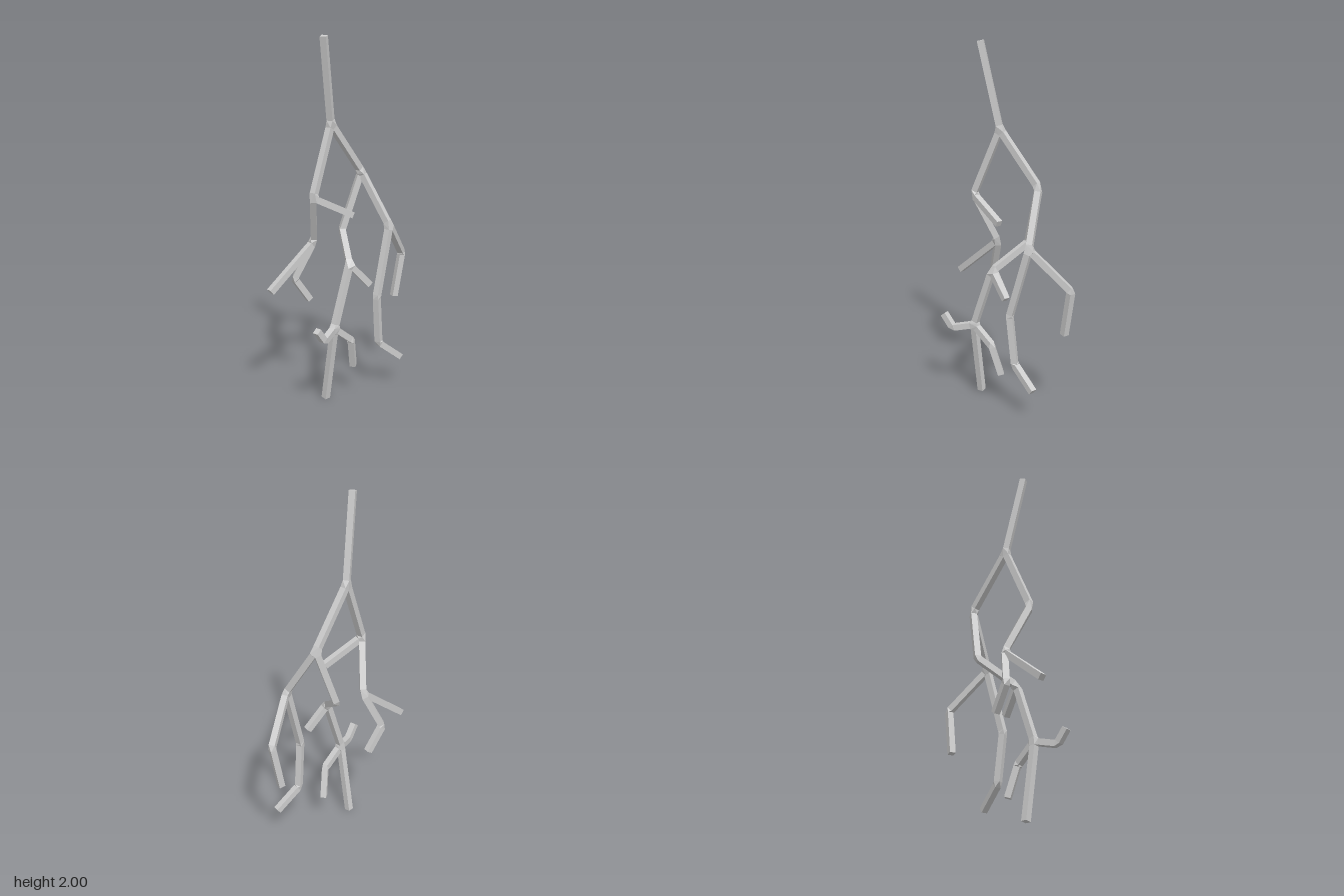
import * as THREE from 'three';
import { ConvexGeometry } from 'three/addons/geometries/ConvexGeometry.js';

const WIDTH = 0.034; // side of the square section

// Junctions and tips of the branching root
const nodes = {
  top: [-0.13, 1.997, 0.02], crown: [-0.066, 1.53, -0.062],
  // right limb
  rElbow: [-0.197, 1.155, 0.028], rStub: [0.032, 1.04, 0.004],
  rFork: [-0.152, 0.88, -0.102], rOuterTip: [-0.428, 0.645, -0.014],
  rKnee: [-0.257, 0.665, -0.134], rInnerTip: [-0.165, 0.53, -0.155],
  // left limb
  lFork: [0.147, 1.24, -0.173], lSplit: [0.265, 0.95, -0.038],
  lOuterKnee: [0.412, 0.735, -0.208], lOuterTip: [0.366, 0.475, -0.203],
  lInnerBend: [0.172, 0.56, 0.02], lInnerKnee: [0.193, 0.28, 0.0], lInnerTip: [0.335, 0.168, -0.026],
  // middle limb
  mBend: [0.038, 0.91, -0.182], mFork: [0.006, 0.77, 0.032], mStub: [0.128, 0.64, 0.018],
  mCluster: [-0.1, 0.43, 0.085], tapRootTip: [-0.13, 0.003, 0.022],
  mFrontKnee: [-0.187, 0.402, 0.175], mFrontTip: [-0.236, 0.475, 0.203],
  mSideKnee: [0.014, 0.335, 0.04], mSideTip: [0.042, 0.162, -0.004],
};

// Each limb lists the runs of nodes it follows
const limbs = {
  stem: [['top', 'crown']],
  rightLimb: [['crown', 'rElbow', 'rFork', 'rKnee', 'rInnerTip'], ['rElbow', 'rStub'], ['rFork', 'rOuterTip']],
  leftLimb: [['crown', 'lFork', 'lSplit', 'lInnerBend', 'lInnerKnee', 'lInnerTip'],
    ['lSplit', 'lOuterKnee', 'lOuterTip']],
  middleLimb: [['lFork', 'mBend', 'mFork', 'mCluster', 'tapRootTip'], ['mFork', 'mStub'],
    ['mCluster', 'mFrontKnee', 'mFrontTip'], ['mCluster', 'mSideKnee', 'mSideTip']],
};

export function createModel() {
  const root = new THREE.Group();
  root.name = 'branchingRoot';
  const material = new THREE.MeshStandardMaterial({ color: 0xcccccc, flatShading: true });
  const point = (name) => new THREE.Vector3(...nodes[name]);

  // Count the segments meeting at every node
  const degree = {};
  for (const runs of Object.values(limbs)) for (const run of runs) {
    for (let i = 1; i < run.length; i++) {
      for (const n of [run[i - 1], run[i]]) degree[n] = (degree[n] || 0) + 1;
    }
  }
  // Segments stop short of a joint, further back where limbs fork
  const setback = (n) => (degree[n] === 1 ? 0 : degree[n] === 2 ? 0.011 : 0.024);
  const rings = {};

  // Square bar between two nodes, with its side faces kept level
  function addSegment(group, from, to) {
    const a = point(from), b = point(to);
    const dir = b.clone().sub(a).normalize();
    a.addScaledVector(dir, setback(from));
    b.addScaledVector(dir, -setback(to));
    const side = new THREE.Vector3(0, 1, 0).cross(dir).normalize();
    const normal = side.clone().cross(dir);
    const bar = new THREE.Mesh(new THREE.BoxGeometry(WIDTH, a.distanceTo(b), WIDTH), material);
    bar.name = 'branchSegment';
    bar.quaternion.setFromRotationMatrix(new THREE.Matrix4().makeBasis(side, dir, normal));
    bar.position.copy(a).add(b).multiplyScalar(0.5);
    group.add(bar);
    // Remember the end corners for the joints
    for (const [name, centre] of [[from, a], [to, b]]) {
      rings[name] = rings[name] || [];
      for (const u of [-0.5, 0.5]) for (const v of [-0.5, 0.5]) {
        rings[name].push(centre.clone().addScaledVector(side, u * WIDTH).addScaledVector(normal, v * WIDTH));
      }
    }
  }

  for (const [name, runs] of Object.entries(limbs)) {
    const group = new THREE.Group();
    group.name = name;
    for (const run of runs) for (let i = 1; i < run.length; i++) addSegment(group, run[i - 1], run[i]);
    root.add(group);
  }

  // Faceted joints wrap the bar ends that meet at a node
  const joints = new THREE.Group();
  joints.name = 'joints';
  for (const [name, corners] of Object.entries(rings)) {
    if (degree[name] < 2) continue;
    const joint = new THREE.Mesh(new ConvexGeometry(corners), material);
    joint.name = degree[name] === 2 ? 'bendJoint' : 'forkJoint';
    joints.add(joint);
  }
  root.add(joints);
  return root;
}
